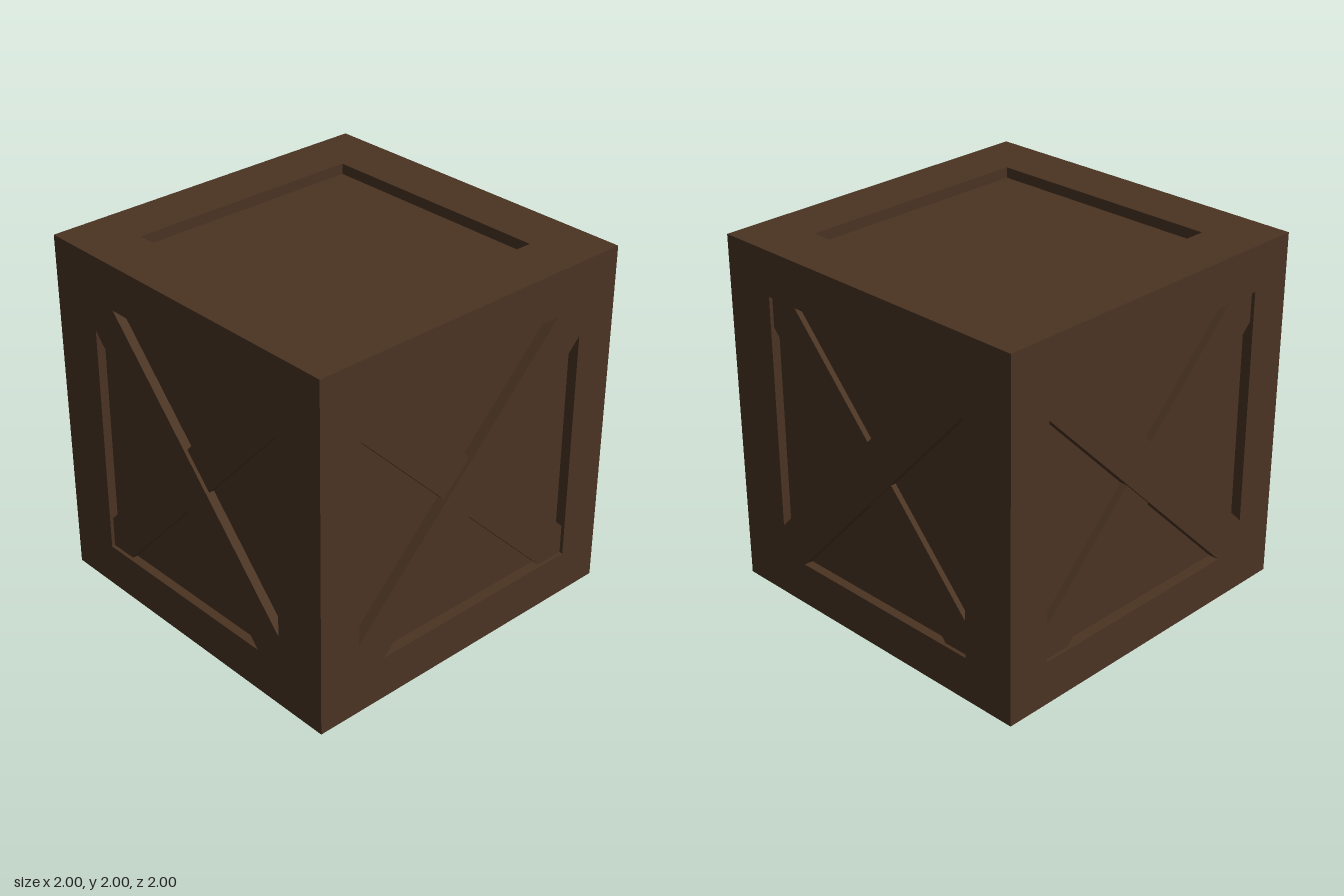
import * as THREE from 'three';

const wood = new THREE.MeshStandardMaterial({ color: 0x4b3423 });
wood.name = 'darkWood';

const toShape = pts => new THREE.Shape(pts.map(p => new THREE.Vector2(p[0], p[1])));

function addMesh(group, name, geometry, z = 0) {
  const mesh = new THREE.Mesh(geometry, wood);
  mesh.name = name;
  mesh.position.z = z;
  group.add(mesh);
}

// Inward-facing walls of a recess; pts run counter-clockwise
function recessWalls(pts, depth) {
  const pos = [];
  pts.forEach((p, i) => {
    const q = pts[(i + 1) % pts.length];
    pos.push(...p, 0, ...q, 0, ...p, -depth, ...q, 0, ...q, -depth, ...p, -depth);
  });
  const geometry = new THREE.BufferGeometry();
  geometry.setAttribute('position', new THREE.Float32BufferAttribute(pos, 3));
  geometry.computeVertexNormals();
  return geometry;
}

// One 2 x 2 face of the crate, with recesses sunk into it
function crateFace(name, recesses, depth) {
  const group = new THREE.Group();
  group.name = name;
  const frame = toShape([[-1, -1], [1, -1], [1, 1], [-1, 1]]);
  for (const pts of recesses) {
    frame.holes.push(toShape(pts));
    addMesh(group, 'recessWalls', recessWalls(pts, depth), 1);
    addMesh(group, 'recessedPanel', new THREE.ShapeGeometry(toShape(pts)), 1 - depth);
  }
  addMesh(group, 'frame', new THREE.ShapeGeometry(frame), 1);
  return group;
}

// A side face with two crossed braces: one flush, one slightly lower.
// w, h: half window; a, b: brace half widths along x and y; m: -1 mirrors
function bracedFace(name, { w, h, a, b, depth }, m) {
  const step = 0.02;
  const place = (pts, s) => {
    const out = pts.map(([x, y]) => [x * s * m, y * s]);
    return m < 0 ? out.reverse() : out;
  };
  const opening = [[-w, h], [-w, -h + b], [w - a, h]];
  const lowBrace = [[-w, h], [-w, h - b], [-a, 0], [0, b], [-w + a, h]];
  const face = crateFace(name, [place(opening, 1), place(opening, -1)], depth);
  for (const s of [1, -1]) {
    const geometry = new THREE.ExtrudeGeometry(toShape(place(lowBrace, s)),
      { depth: depth - step, bevelEnabled: false });
    addMesh(face, 'crossBrace', geometry, 1 - depth);
  }
  return face;
}

export function createModel() {
  const crate = new THREE.Group();
  crate.name = 'crate';
  const wide = { w: 0.75, h: 0.75, a: 0.17, b: 0.17, depth: 0.06 };
  const narrow = { w: 0.69, h: 0.75, a: 0.16, b: 0.175, depth: 0.05 };

  // Sides; opposite sides mirror each other
  const sides = [
    ['frontSide', wide, 1, 0],
    ['backSide', wide, -1, Math.PI],
    ['plusXSide', narrow, 1, Math.PI / 2],
    ['minusXSide', narrow, -1, -Math.PI / 2],
  ];
  for (const [name, size, mirror, angle] of sides) {
    const face = bracedFace(name, size, mirror);
    face.rotation.y = angle;
    crate.add(face);
  }

  // Lid with a square recess, and plain bottom
  const r = 0.69;
  const lid = crateFace('lid', [[[-r, -r], [r, -r], [r, r], [-r, r]]], 0.06);
  lid.rotation.x = -Math.PI / 2;
  const bottom = crateFace('bottom', [], 0);
  bottom.rotation.x = Math.PI / 2;
  crate.add(lid, bottom);

  crate.children.forEach(face => { face.position.y = 1; });
  return crate;
}
